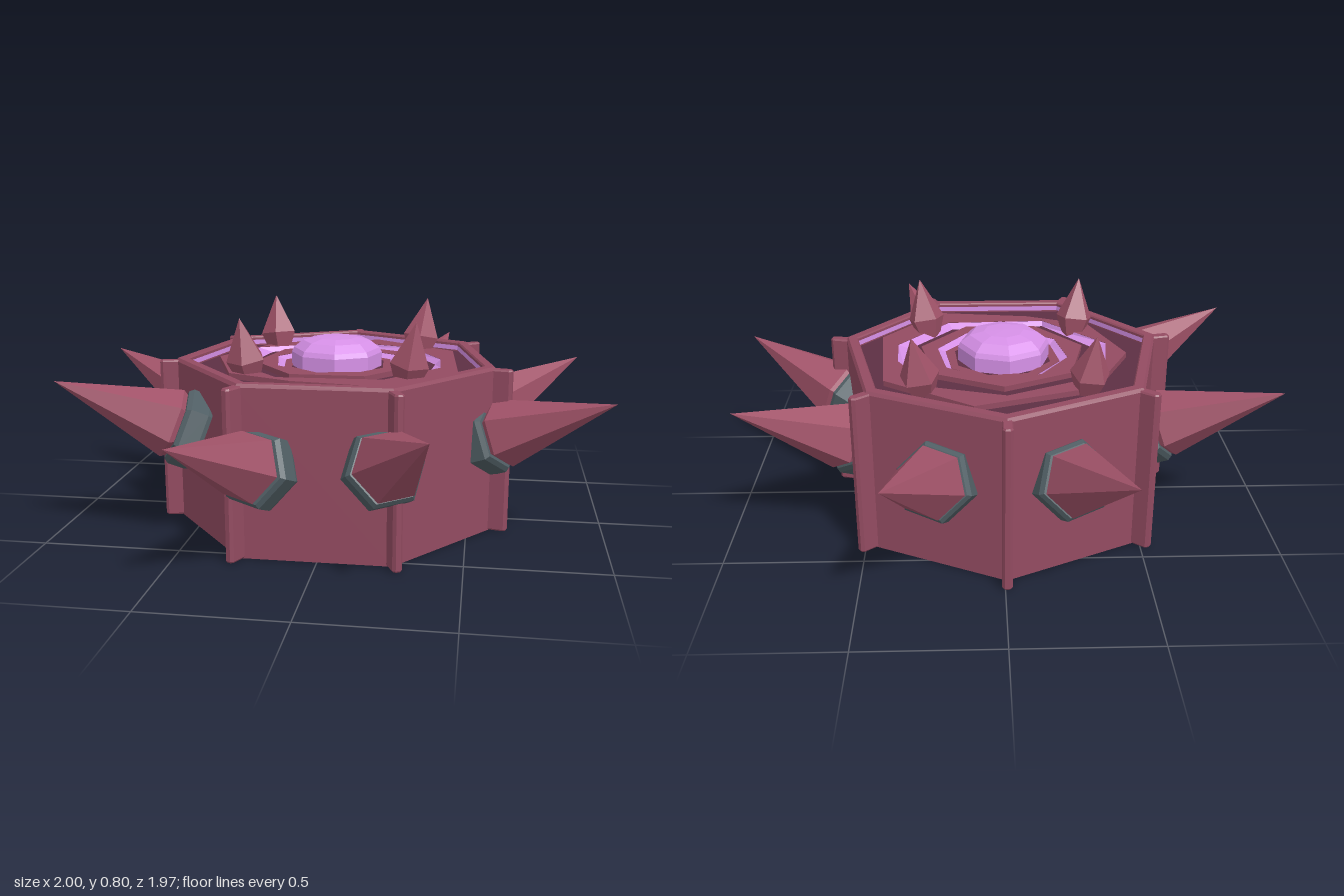
import * as THREE from 'three';
import { toCreasedNormals } from 'three/addons/utils/BufferGeometryUtils.js';

const makeMaterial = (name, color) => {
  const m = new THREE.MeshStandardMaterial({ color });
  m.name = name;
  return m;
};

const CX = -0.007, CZ = -0.018; // centre of the drum

export function createModel() {
  const group = new THREE.Group();
  const maroon = makeMaterial('maroon', 0x934b61);
  const rose = makeMaterial('rose', 0xa05268);
  const plum = makeMaterial('dark plum', 0x5d2f44);
  const violet = makeMaterial('violet', 0xd791e8);
  const slate = makeMaterial('slate', 0x505e64);

  const add = (parent, name, geo, mat) => {
    const mesh = new THREE.Mesh(toCreasedNormals(geo, 0.05), mat);
    mesh.name = name;
    parent.add(mesh);
    return mesh;
  };
  const lathe = (pts, sides, start = 0) =>
    new THREE.LatheGeometry(pts.map(([r, y]) => new THREE.Vector2(r, y)), sides, start);

  // Seven-sided drum with a raised rim
  const drum = new THREE.Group();
  drum.name = 'drum';
  drum.position.set(CX, 0, CZ);
  group.add(drum);
  add(drum, 'drumShell', lathe([[0, 0], [0.615, 0], [0.615, 0.608], [0.606, 0.62],
    [0.572, 0.62], [0.567, 0.615], [0.567, 0.575]], 7, Math.PI), maroon);
  add(drum, 'recessFloor', lathe([[0.569, 0.582], [0, 0.582]], 7, Math.PI), plum);
  add(drum, 'rimGlow', lathe([[0.566, 0.606], [0.565, 0.588]], 7, Math.PI), violet);

  // Upright ribs on the drum corners
  for (let i = 0; i < 7; i++) {
    const a = Math.PI + (i * Math.PI * 2) / 7;
    const shape = new THREE.Shape();
    shape.moveTo(-0.014, 0.59);
    shape.lineTo(-0.014, 0.662);
    shape.lineTo(-0.007, 0.67);
    shape.lineTo(0.007, 0.67);
    shape.lineTo(0.014, 0.662);
    shape.lineTo(0.014, 0.59);
    const geo = new THREE.ExtrudeGeometry(shape, {
      depth: 0.6, bevelEnabled: true, bevelThickness: 0.006, bevelSize: 0.004, bevelSegments: 1,
    });
    geo.rotateX(Math.PI / 2).translate(0, 0.607, 0);
    add(drum, 'cornerRib', geo, maroon).rotation.y = a;
  }

  // Skewed plates in the recess, each with a hole
  const path = (pts) => pts.map(([x, z]) => new THREE.Vector2(x, -z));
  const plate = (name, pts, hole, bottom, top, mat) => {
    const shape = new THREE.Shape(path(pts));
    shape.holes.push(new THREE.Path(path(hole)));
    const geo = new THREE.ExtrudeGeometry(shape, { depth: top - bottom, bevelEnabled: false });
    geo.rotateX(-Math.PI / 2).translate(0, bottom, 0);
    add(group, name, geo, mat);
  };
  // Glowing band sloping inward from one loop down to another
  const slope = (name, outer, inner, top, bottom) => {
    const pos = [], n = outer.length;
    for (let i = 0; i < n; i++) {
      const j = (i + 1) % n;
      const a = [outer[i][0], top, outer[i][1]], b = [outer[j][0], top, outer[j][1]];
      const c = [inner[i][0], bottom, inner[i][1]], d = [inner[j][0], bottom, inner[j][1]];
      pos.push(...a, ...c, ...b, ...b, ...c, ...d);
    }
    const geo = new THREE.BufferGeometry();
    geo.setAttribute('position', new THREE.Float32BufferAttribute(pos, 3));
    add(group, name, geo, violet);
  };
  const polygon = (r, n, turn) => Array.from({ length: n }, (_, i) => {
    const a = turn + (i * Math.PI * 2) / n;
    return [CX + r * Math.cos(a), CZ + r * Math.sin(a)];
  });

  const outerEdge = [[-0.475, -0.03], [-0.32, -0.35], [0.1, -0.49], [0.42, -0.27],
    [0.455, 0.155], [0.24, 0.43], [-0.12, 0.38], [-0.36, 0.28]];
  const glowTop = [[-0.37, -0.24], [-0.015, -0.407], [0.245, -0.33], [0.38, -0.09],
    [0.388, 0.075], [0.2, 0.312], [-0.18, 0.325], [-0.41, 0.07]];
  const glowFoot = [[-0.312, -0.25], [-0.015, -0.403], [0.235, -0.32], [0.36, -0.08],
    [0.345, 0.08], [0.185, 0.285], [-0.18, 0.315], [-0.362, 0.07]];
  plate('outerPlate', outerEdge, glowTop, 0.565, 0.602, maroon);
  slope('outerGlow', glowTop, glowFoot, 0.601, 0.582);

  const ringTop = polygon(0.248, 8, 0.2), ringFoot = polygon(0.22, 8, 0.24);
  plate('innerPlate', polygon(0.315, 7, -Math.PI / 2), ringTop, 0.565, 0.602, maroon);
  slope('innerGlow', ringTop, ringFoot, 0.601, 0.586);
  plate('gemSeat', ringFoot, polygon(0.186, 8, 0.3), 0.565, 0.588, maroon);

  // Faceted gem
  const gem = add(group, 'gem', lathe([[0.172, 0.57], [0.172, 0.635], [0.163, 0.653],
    [0.128, 0.68], [0.075, 0.692], [0, 0.695]], 8, 0.1), violet);
  gem.position.set(CX - 0.006, 0, CZ);

  // Stand a group's y axis along the line from base to tip
  const aim = (name, base, tip) => {
    const g = new THREE.Group();
    g.name = name;
    const from = new THREE.Vector3(...base), dir = new THREE.Vector3(...tip).sub(from);
    g.userData.length = dir.length();
    g.position.copy(from);
    g.quaternion.setFromUnitVectors(new THREE.Vector3(0, 1, 0), dir.normalize());
    group.add(g);
    return g;
  };

  // Large side spikes in hexagonal collars: base and tip of each
  const spikes = [
    [[-0.205, 0.34, 0.573], [-0.385, 0.515, 0.978]],
    [[0.235, 0.36, 0.573], [0.4, 0.56, 0.96]],
    [[0.59, 0.365, 0.123], [0.997, 0.545, 0.33]],
    [[0.54, 0.365, -0.24], [0.925, 0.56, -0.438]],
    [[0.235, 0.365, -0.58], [0.38, 0.56, -0.987]],
    [[-0.235, 0.365, -0.58], [-0.387, 0.56, -0.99]],
    [[-0.573, 0.375, -0.19], [-0.998, 0.565, -0.335]],
    [[-0.52, 0.41, 0.337], [-0.935, 0.597, 0.48]],
  ];
  for (const [base, tip] of spikes) {
    const g = aim('sideSpike', base, tip);
    add(g, 'collar', lathe([[0, -0.07], [0.135, -0.07], [0.141, -0.055], [0.141, 0.008],
      [0.128, 0.024], [0, 0.024]], 6), slate);
    add(g, 'spike', lathe([[0.108, 0.015], [0.127, 0.042], [0, g.userData.length]], 6), rose);
  }

  // Small spikes on top
  for (const sx of [-1, 1]) for (const sz of [-1, 1]) {
    const g = aim('topSpike', [-0.01 + sx * 0.285, 0.565, -0.05 + sz * 0.28],
      [-0.005 + sx * 0.315, 0.8, -0.05 + sz * 0.32]);
    add(g, 'spike', lathe([[0, 0], [0.045, 0.01], [0.073, 0.085], [0, g.userData.length]], 5), rose);
  }

  return group;
}
